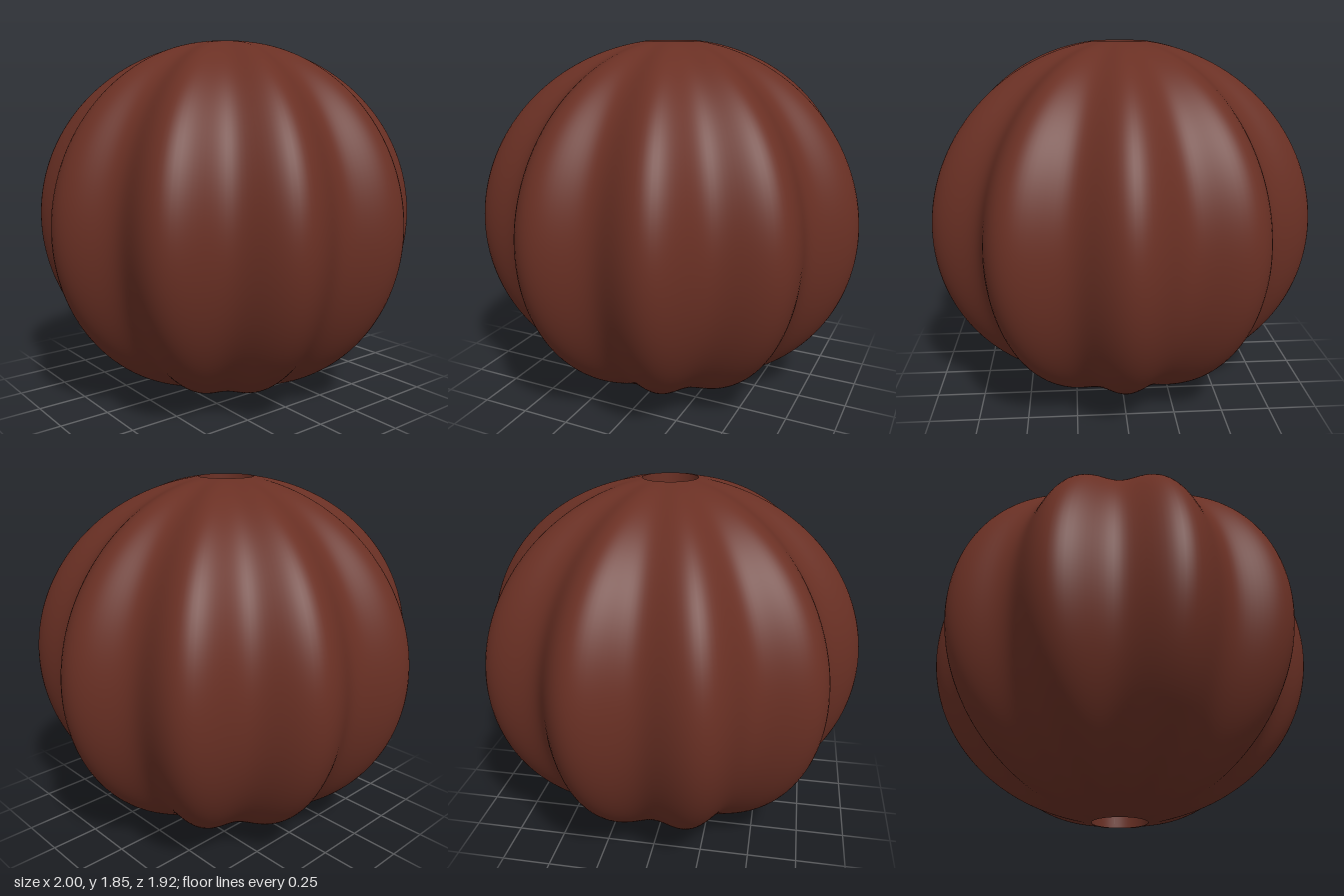
import * as THREE from 'three';
import { mergeVertices } from 'three/addons/utils/BufferGeometryUtils.js';

const RADIUS = 0.9375;   // mean radius of the bead
const RIDGE = 0.0625;    // ridge height at the equator
const LOBES = 10;
const BORE = 0.14;       // radius of the hole
const HALF = Math.sqrt(RADIUS * RADIUS - BORE * BORE);

export function createModel() {
  const group = new THREE.Group();
  group.name = 'flutedBead';
  const clay = new THREE.MeshStandardMaterial({ color: 0x6a3024 });
  clay.name = 'redBrown';

  // Fluted shell: a sphere open at both poles, with ridges fading toward the hole
  const start = Math.asin(BORE / RADIUS);
  const profile = [];
  for (let i = 0; i <= 96; i++) {
    const a = Math.PI - start - (i / 96) * (Math.PI - 2 * start);
    profile.push(new THREE.Vector2(RADIUS * Math.sin(a), RADIUS * Math.cos(a)));
  }
  let shell = new THREE.LatheGeometry(profile, 240);
  const pos = shell.attributes.position;
  const v = new THREE.Vector3();
  for (let i = 0; i < pos.count; i++) {
    v.fromBufferAttribute(pos, i);
    const s = Math.hypot(v.x, v.z) / RADIUS;
    const fade = (s * s - (BORE / RADIUS) ** 2) / (1 - (BORE / RADIUS) ** 2);
    const wave = Math.cos(LOBES * Math.atan2(v.z, v.x));
    v.multiplyScalar(1 + (RIDGE / RADIUS) * fade * wave);
    pos.setXYZ(i, v.x, v.y, v.z);
  }
  // Weld the seam so the normals are smooth all round
  shell.deleteAttribute('uv');
  shell.deleteAttribute('normal');
  shell = mergeVertices(shell, 1e-5);
  shell.computeVertexNormals();
  const body = new THREE.Mesh(shell, clay);
  body.name = 'flutedShell';

  // Wall of the hole, running top to bottom so that it faces inward
  const wall = new THREE.LatheGeometry(
    [new THREE.Vector2(BORE, HALF), new THREE.Vector2(BORE, -HALF)], 240);
  const bore = new THREE.Mesh(wall, clay);
  bore.name = 'boreWall';

  body.position.y = bore.position.y = HALF;
  group.add(body, bore);
  return group;
}
